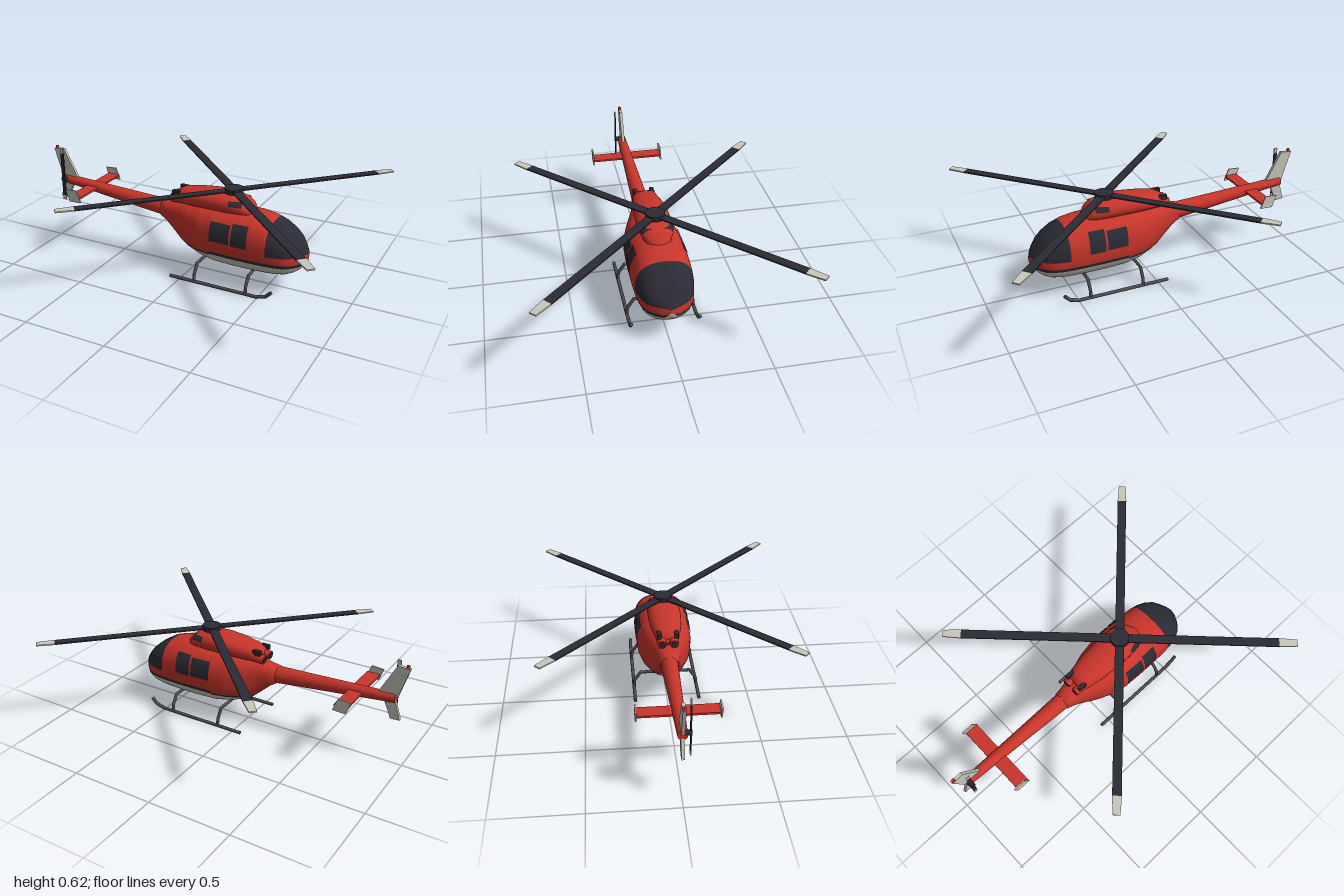
import * as THREE from 'three';

const mat = (name, color) => Object.assign(new THREE.MeshStandardMaterial({ color }), { name });

// body stations: x, bottom, top, half width
const HULL = [
  [-0.22, 0.35, 0.36, 0.004], [-0.205, 0.305, 0.405, 0.054], [-0.16, 0.275, 0.413, 0.062],
  [-0.1, 0.22, 0.422, 0.078], [-0.05, 0.175, 0.43, 0.097], [0, 0.15, 0.436, 0.118], [0.08, 0.123, 0.442, 0.147],
  [0.18, 0.105, 0.448, 0.165], [0.3, 0.101, 0.45, 0.169], [0.42, 0.101, 0.446, 0.169], [0.5, 0.104, 0.432, 0.166],
  [0.56, 0.108, 0.41, 0.16], [0.62, 0.118, 0.373, 0.145], [0.66, 0.135, 0.338, 0.122],
  [0.69, 0.155, 0.302, 0.09], [0.715, 0.182, 0.27, 0.05], [0.727, 0.21, 0.248, 0.014], [0.728, 0.228, 0.23, 0.002],
];
const COWL = [
  [-0.1, 0.44, 0.46, 0.01], [-0.095, 0.42, 0.495, 0.055], [-0.06, 0.415, 0.515, 0.073], [0.04, 0.415, 0.53, 0.092],
  [0.15, 0.415, 0.541, 0.1], [0.25, 0.415, 0.538, 0.1], [0.33, 0.415, 0.52, 0.09],
  [0.37, 0.415, 0.492, 0.07], [0.4, 0.41, 0.455, 0.035], [0.415, 0.42, 0.43, 0.005],
];

// linear station lookup
function station(table, x) {
  let i = 0;
  while (i < table.length - 2 && x > table[i + 1][0]) i++;
  const a = table[i], b = table[i + 1], k = (x - a[0]) / (b[0] - a[0]);
  const [bot, top, w] = [1, 2, 3].map(n => a[n] + (b[n] - a[n]) * k);
  return { c: (bot + top) / 2, h: (top - bot) / 2, w, bot };
}
const spow = (v, e) => Math.sign(v) * Math.pow(Math.abs(v), e);
const angleAt = (s, y, n) => Math.asin(spow(THREE.MathUtils.clamp((y - s.c) / s.h, -1, 1), n / 2));

// superellipse loft; levels(station, x) gives colour borders, pick(x, band) the material index
function loft(table, n, extraX, levels, pick, materials, sub) {
  const xs = [...new Set([...table.map(r => r[0]), ...extraX])].sort((a, b) => a - b);
  const pos = [], lists = materials.map(() => []);
  let half = 0;
  for (const x of xs) {
    const s = station(table, x), ts = [-Math.PI / 2];
    const borders = levels(s, x).map(y => angleAt(s, y, n));
    [...borders, Math.PI / 2].forEach((t, b) => {
      const from = ts[ts.length - 1], left = borders.length - b;
      const to = THREE.MathUtils.clamp(t, from + 0.02, Math.PI / 2 - 0.02 * left);
      for (let k = 1; k <= sub[b]; k++) ts.push(from + (to - from) * k / sub[b]);
    });
    half = ts.length - 1;
    const put = (t, m) => pos.push(x, s.c + s.h * spow(Math.sin(t), 2 / n), m * s.w * Math.pow(Math.max(0, Math.cos(t)), 2 / n));
    ts.forEach(t => put(t, 1));
    ts.slice(1, -1).reverse().forEach(t => put(t, -1));
  }
  const ring = half * 2, bandOf = sub.flatMap((c, b) => Array(c).fill(b));
  for (let i = 0; i < xs.length - 1; i++) {
    for (let j = 0; j < ring; j++) {
      const band = bandOf[j < half ? j : ring - 1 - j], j2 = (j + 1) % ring;
      const a = i * ring + j, b = a + ring, c = (i + 1) * ring + j2, d = i * ring + j2;
      lists[pick((xs[i] + xs[i + 1]) / 2, band)].push(a, b, c, a, c, d);
    }
  }
  const g = new THREE.BufferGeometry();
  g.setAttribute('position', new THREE.Float32BufferAttribute(pos, 3));
  g.setIndex(lists.flat());
  let start = 0;
  lists.forEach((l, m) => { g.addGroup(start, l.length, m); start += l.length; });
  g.computeVertexNormals();
  return new THREE.Mesh(g, materials);
}

// pane lying just over a lofted side
function pane(table, n, x0, x1, y0, y1, side, material) {
  const g = new THREE.PlaneGeometry(1, 1, 8, 8), p = g.attributes.position;
  for (let i = 0; i < p.count; i++) {
    const x = THREE.MathUtils.lerp(x0, x1, 0.5 + side * p.getX(i)), y = THREE.MathUtils.lerp(y0, y1, 0.5 + p.getY(i));
    const s = station(table, x), t = angleAt(s, y, n);
    p.setXYZ(i, x, y + 0.002, side * (s.w * Math.pow(Math.cos(t), 2 / n) + 0.004));
  }
  g.computeVertexNormals();
  return new THREE.Mesh(g, material);
}

export function createModel() {
  const root = new THREE.Group();
  const red = mat('red paint', 0xc8352b), dark = mat('dark glass and rotor', 0x2b2b34);
  const cream = mat('cream paint', 0xc9c8be), grey = mat('skid grey', 0x4b4b50);
  const add = (name, mesh, parent = root) => { mesh.name = name; parent.add(mesh); return mesh; };
  const box = (name, m, size, at, parent) => {
    const b = add(name, new THREE.Mesh(new THREE.BoxGeometry(...size), m), parent);
    b.position.set(...at);
    return b;
  };
  const rod = (name, m, from, to, r0, r1, seg = 20, parent = root) => {
    const a = new THREE.Vector3(...from), d = new THREE.Vector3(...to).sub(a);
    const c = add(name, new THREE.Mesh(new THREE.CylinderGeometry(r1, r0, d.length(), seg), m), parent);
    c.position.copy(a).addScaledVector(d, 0.5);
    c.quaternion.setFromUnitVectors(new THREE.Vector3(0, 1, 0), d.normalize());
    return c;
  };
  const tube = (name, m, pts, r) => {
    const path = new THREE.CurvePath();
    const v = pts.map(p => new THREE.Vector3(...p));
    for (let i = 1; i < v.length; i++) path.add(new THREE.LineCurve3(v[i - 1], v[i]));
    const g = new THREE.Group();
    for (let i = 1; i < v.length; i++) rod(name + 'Segment', m, pts[i - 1], pts[i], r, r, 10, g);
    v.slice(1, -1).forEach(p => add(name + 'Joint', new THREE.Mesh(new THREE.SphereGeometry(r, 10, 8), m), g).position.copy(p));
    return add(name, g);
  };
  const plate = (name, m, pts, thick, z = 0) => {
    const shape = new THREE.Shape(pts.map(p => new THREE.Vector2(...p)));
    const g = new THREE.ExtrudeGeometry(shape, { depth: thick, bevelEnabled: false }).translate(0, 0, z - thick / 2);
    return add(name, new THREE.Mesh(g, m));
  };

  // cabin with cream belly, dark stripe and wraparound windscreen
  const levels = (s, x) => [s.bot + 0.01, x < 0.175 ? 0.18 : 0.19, x < 0.175 ? 0.194 : 0.21, 0.255];
  const pick = (x, band) => {
    if (band === 0) return x > 0.1 && x < 0.56 ? 0 : x < -0.09 ? 0 : 2;
    if (band < 3 && x < -0.09) return 0;
    return [0, 2, 1, 0, x > 0.525 ? 1 : 0][band];
  };
  add('cabin', loft(HULL, 2.5, [-0.09, 0.1, 0.17, 0.176, 0.525, 0.59, 0.64, 0.703], levels, pick, [red, dark, cream], [3, 5, 2, 3, 14]));
  box('bellyPlate', cream, [0.05, 0.014, 0.05], [0.55, 0.102, 0]);

  // engine cowling
  add('engineCowling', loft(COWL, 2.2, [-0.02, 0.1, 0.2, 0.29, 0.35], () => [], () => 0, [red], [14]));
  for (const s of [1, -1]) {
    add('rearWindow', pane(HULL, 2.5, 0.18, 0.305, 0.28, 0.393, s, dark));
    add('frontWindow', pane(HULL, 2.5, 0.318, 0.414, 0.276, 0.403, s, dark));
    add('engineIntake', pane(COWL, 2.2, 0.265, 0.342, 0.482, 0.51, s, dark));
    rod('exhaustHousing', red, [0, 0.46, s * 0.04], [-0.13, 0.446, s * 0.036], 0.032, 0.026);
    rod('exhaustOpening', dark, [-0.125, 0.446, s * 0.036], [-0.135, 0.445, s * 0.036], 0.018, 0.018);
    box('exhaustVent', dark, [0.05, 0.028, 0.024], [-0.088, 0.488, s * 0.05]);
  }

  // tail boom, fins and stabilizer
  rod('tailBoom', red, [-0.19, 0.355, 0], [-0.93, 0.414, 0], 0.051, 0.027, 24);
  plate('upperFin', cream, [[-0.94, 0.42], [-0.83, 0.435], [-0.925, 0.612], [-0.997, 0.606]], 0.018);
  plate('lowerFin', cream, [[-0.965, 0.287], [-0.91, 0.283], [-0.86, 0.4], [-0.93, 0.4]], 0.018);
  rod('beacon', red, [-0.98, 0.605, 0], [-0.98, 0.624, 0], 0.011, 0.009, 12);
  box('stabilizer', red, [0.08, 0.012, 0.445], [-0.705, 0.4, 0]);
  for (const s of [1, -1])
    plate('stabilizerEndPlate', cream, [[-0.74, 0.368], [-0.66, 0.372], [-0.69, 0.447], [-0.765, 0.442]], 0.008, s * 0.223);

  // tail rotor
  rod('tailRotorHub', dark, [-0.915, 0.42, 0.01], [-0.915, 0.42, 0.048], 0.016, 0.016, 14);
  for (const s of [1, -1]) {
    box('tailRotorBlade', dark, [0.022, 0.14, 0.007], [-0.915, 0.452 + s * 0.07, 0.042]);
    box('tailRotorTip', cream, [0.022, 0.03, 0.007], [-0.915, 0.452 + s * 0.155, 0.042]);
  }

  // main rotor
  const rotor = new THREE.Group();
  rotor.position.set(0.258, 0.552, 0);
  add('mainRotor', rotor);
  rod('rotorMast', grey, [0, -0.06, 0], [0, 0, 0], 0.025, 0.025, 16, rotor);
  rod('rotorHub', dark, [0, -0.015, 0], [0, 0.014, 0], 0.055, 0.055, 24, rotor);
  for (let i = 0; i < 4; i++) {
    const arm = new THREE.Group();
    arm.rotation.y = Math.PI / 4 + i * Math.PI / 2;
    add('rotorArm', arm, rotor);
    box('rotorBlade', dark, [0.92, 0.008, 0.052], [0.46, 0, 0], arm);
    const tip = box('rotorBladeTip', cream, [0.105, 0.008, 0.054], [0.9725, 0, 0], arm);
    const p = tip.geometry.attributes.position;
    for (let k = 0; k < p.count; k++) if (p.getX(k) > 0) p.setZ(k, p.getZ(k) * 0.75);
    tip.geometry.computeVertexNormals();
  }

  // landing skids and cross struts
  for (const s of [1, -1])
    tube('skid', grey, [[-0.06, 0.011, s * 0.195], [0.5, 0.011, s * 0.195], [0.555, 0.027, s * 0.195], [0.588, 0.06, s * 0.195]], 0.0105);
  for (const x of [0.1, 0.43]) {
    const side = s => [[x, 0.014, s * 0.195], [x, 0.055, s * 0.19], [x, 0.112, s * 0.153]];
    tube('crossStrut', grey, [...side(1), ...side(-1).reverse()], 0.0095);
  }
  return root;
}
